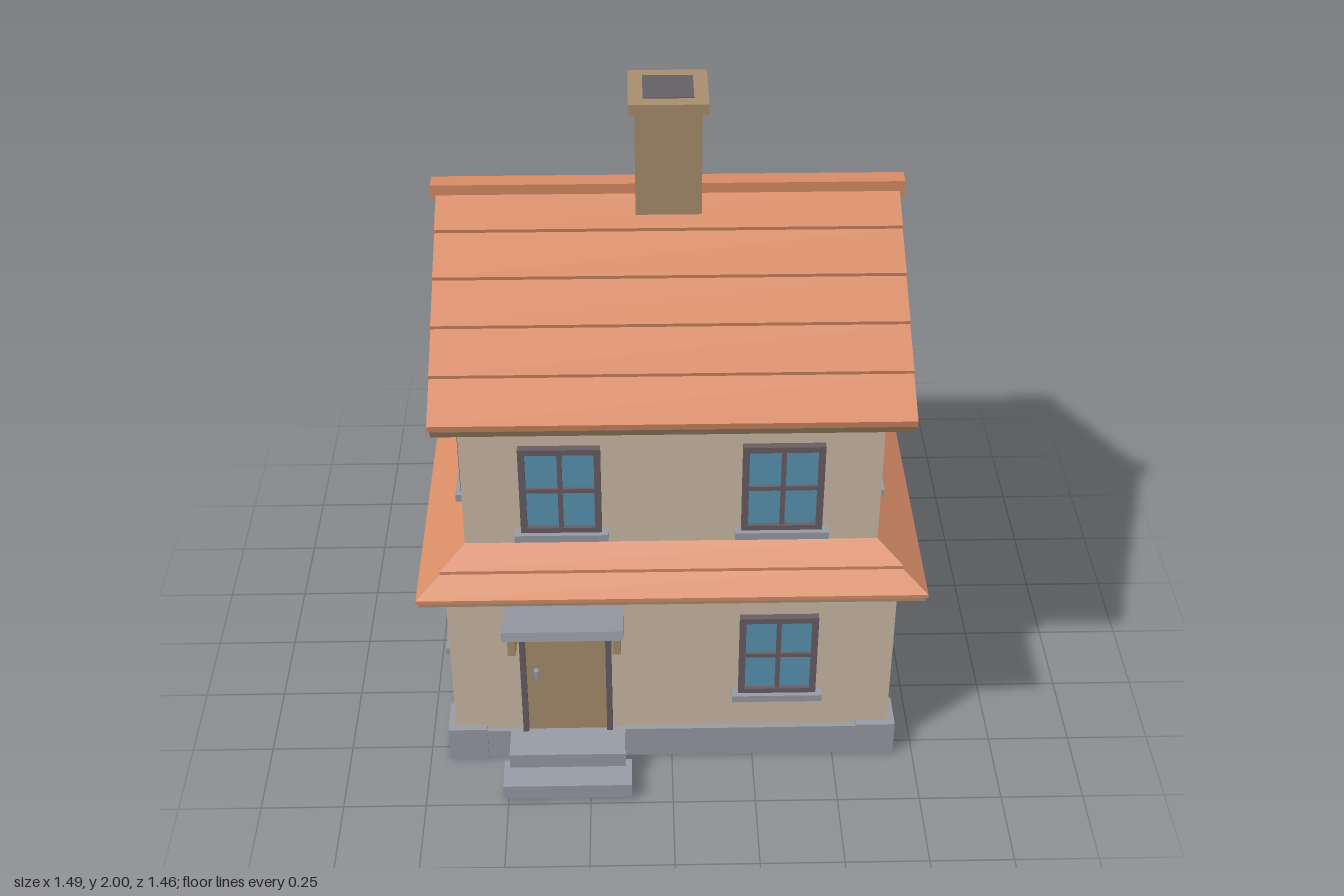
import * as THREE from 'three';

const mat = (name, color) => {
  const m = new THREE.MeshStandardMaterial({ color });
  m.name = name;
  return m;
};

export function createModel() {
  const wall = mat('plaster', 0xcdbca7), tile = mat('roofTile', 0xd98c66);
  const wood = mat('wood', 0xa98f6e), stone = mat('stone', 0x989ca5);
  const trim = mat('trim', 0x695e63), glass = mat('glass', 0x5a94b4);
  const soot = mat('soot', 0x656267);

  const model = new THREE.Group();
  model.name = 'house';
  const house = new THREE.Group();
  house.name = 'building';
  house.position.z = -0.055;
  model.add(house);

  const add = (parent, name, geometry, material) => {
    const mesh = new THREE.Mesh(geometry, material);
    mesh.name = name;
    parent.add(mesh);
    return mesh;
  };
  // Box given by its minimum and maximum on each axis
  const box = (parent, name, material, x0, x1, y0, y1, z0, z1) => {
    const mesh = add(parent, name, new THREE.BoxGeometry(x1 - x0, y1 - y0, z1 - z0), material);
    mesh.position.set((x0 + x1) / 2, (y0 + y1) / 2, (z0 + z1) / 2);
    return mesh;
  };
  // Outline of (z, y) points extruded along x, centred
  const prism = (points, halfWidth) => {
    const shape = new THREE.Shape(points.map(([z, y]) => new THREE.Vector2(-z, y)));
    return new THREE.ExtrudeGeometry(shape, { depth: halfWidth * 2, bevelEnabled: false })
      .translate(0, 0, -halfWidth).rotateY(Math.PI / 2);
  };
  // Rectangular rings [halfX, halfZ, y] joined into a flat-sided band
  const band = (rings) => {
    const signs = [[1, 1], [1, -1], [-1, -1], [-1, 1]];
    const at = ([hx, hz, y], i) => [signs[i % 4][0] * hx, y, signs[i % 4][1] * hz];
    const p = [];
    for (let r = 0; r + 1 < rings.length; r++) {
      for (let i = 0; i < 4; i++) {
        const a = at(rings[r], i), b = at(rings[r], i + 1);
        const c = at(rings[r + 1], i + 1), d = at(rings[r + 1], i);
        p.push(...a, ...b, ...c, ...a, ...c, ...d);
      }
    }
    const g = new THREE.BufferGeometry();
    g.setAttribute('position', new THREE.Float32BufferAttribute(p, 3));
    g.computeVertexNormals();
    return g;
  };

  // Stone base with raised corner blocks
  box(house, 'foundation', stone, -0.684, 0.684, 0, 0.11, -0.602, 0.602);
  for (const sx of [-1, 1]) for (const sz of [-1, 1]) {
    const block = add(house, 'cornerBlock', new THREE.BoxGeometry(0.12, 0.121, 0.12), stone);
    block.position.set(sx * 0.63, 0.0605, sz * 0.548);
  }

  // Walls
  box(house, 'lowerWalls', wall, -0.667, 0.667, 0.1, 0.685, -0.585, 0.585);
  add(house, 'upperWalls', prism(
    [[-0.525, 0.66], [0.525, 0.66], [0.525, 1.334], [0, 1.637], [-0.525, 1.334]], 0.605), wall);

  // Skirt roof around the middle
  add(house, 'skirtEave', band([[0.66, 0.58, 0.662], [0.738, 0.658, 0.662], [0.738, 0.658, 0.68]]), wood);
  add(house, 'skirtTilesLower', band([[0.66, 0.58, 0.678], [0.745, 0.665, 0.678],
    [0.745, 0.665, 0.69], [0.665, 0.585, 0.74]]), tile);
  add(house, 'skirtTilesUpper', band([[0.67, 0.59, 0.733], [0.677, 0.597, 0.733],
    [0.677, 0.597, 0.744], [0.605, 0.525, 0.792], [0.59, 0.51, 0.792]]), tile);

  // Main gable roof: wooden deck, tile courses and ridge cap
  add(house, 'roofDeck', prism([[0, 1.633], [0.645, 1.26], [0.66, 1.298], [0, 1.68],
    [-0.66, 1.298], [-0.645, 1.26]], 0.665), wood);
  const slope = 0.579, course = 0.1335;
  for (const side of [-1, 1]) for (let i = 0; i < 5; i++) {
    const a = i * course, b = a + course;
    const ya = 1.679 - a * slope, yb = 1.679 - b * slope;
    add(house, 'tileCourse', prism([[side * a, ya], [side * b, yb],
      [side * (b + 0.003), yb + 0.02], [side * a, ya + 0.01]], 0.67), tile);
  }
  box(house, 'ridgeCap', tile, -0.685, 0.685, 1.66, 1.707, -0.028, 0.028);

  // Chimney
  box(house, 'chimney', wood, -0.095, 0.095, 1.55, 1.97, -0.095, 0.095);
  box(house, 'chimneyCap', wood, -0.113, 0.113, 1.965, 1.997, -0.113, 0.113);
  box(house, 'flue', soot, -0.072, 0.072, 1.993, 2, -0.072, 0.072);

  // Window facing +z locally, with its bottom centre at the origin
  const addWindow = (w, h, x, y, z, turn) => {
    const g = new THREE.Group();
    g.name = 'window';
    g.position.set(x, y, z);
    g.rotation.y = turn;
    house.add(g);
    const f = w > 0.2 ? 0.019 : 0.014, r = w / 2;
    box(g, 'pane', glass, -r + 0.005, r - 0.005, 0.005, h - 0.005, 0, 0.009);
    for (const s of [-1, 1]) {
      box(g, 'frameSide', trim, s * (r - f / 2) - f / 2, s * (r - f / 2) + f / 2, 0, h, -0.005, 0.022);
    }
    box(g, 'frameBottom', trim, -r + f, r - f, 0, f, -0.005, 0.022);
    box(g, 'frameTop', trim, -r + f, r - f, h - f, h, -0.005, 0.022);
    if (w > 0.2) {
      box(g, 'mullion', trim, -0.007, 0.007, f, h - f, 0, 0.018);
      box(g, 'crossbar', trim, -r + f, r - f, h / 2 - 0.007, h / 2 + 0.007, 0, 0.017);
    }
    box(g, 'sill', stone, -r - 0.019, r + 0.019, -0.022, 0.002, -0.005, 0.036);
  };
  const W = 0.235, H = 0.298, upY = 0.842, lowY = 0.257;
  for (const s of [-1, 1]) {
    // front and back walls
    addWindow(W, H, s * 0.32, upY, 0.525, 0);
    addWindow(W, H, s * 0.32, upY, -0.525, Math.PI);
    addWindow(W, H, s * 0.32, lowY, -0.585, Math.PI);
    // side walls
    const turn = s * Math.PI / 2;
    for (const k of [-1, 1]) {
      addWindow(W, H, s * 0.605, upY, k * 0.225, turn);
      addWindow(W, H, s * 0.667, lowY, k * 0.25, turn);
    }
    addWindow(0.12, 0.117, s * 0.605, 1.358, 0, turn);
  }
  addWindow(W, H, 0.32, lowY, 0.585, 0);

  // Entrance: door, frame, brackets, tilted canopy and steps
  const entrance = new THREE.Group();
  entrance.name = 'entrance';
  entrance.position.x = -0.32;
  model.add(entrance);
  box(entrance, 'door', wood, -0.122, 0.122, 0.11, 0.565, 0.525, 0.54);
  for (const s of [-1, 1]) {
    box(entrance, 'doorJamb', trim, s * 0.129 - 0.009, s * 0.129 + 0.009, 0.11, 0.58, 0.525, 0.552);
    box(entrance, 'bracket', wood, s * 0.155 - 0.012, s * 0.155 + 0.012, 0.48, 0.592, 0.525, 0.615);
  }
  box(entrance, 'doorHead', trim, -0.12, 0.12, 0.562, 0.58, 0.525, 0.552);
  box(entrance, 'doorKnob', stone, -0.097, -0.083, 0.33, 0.36, 0.538, 0.556);
  const canopy = add(entrance, 'canopy', new THREE.BoxGeometry(0.352, 0.03, 0.175), stone);
  canopy.position.set(0, 0.603, 0.608);
  canopy.rotation.x = -0.21;
  box(entrance, 'upperStep', stone, -0.177, 0.177, 0.06, 0.112, 0.54, 0.655);
  box(entrance, 'lowerStep', stone, -0.195, 0.195, 0.01, 0.06, 0.625, 0.735);

  return model;
}
